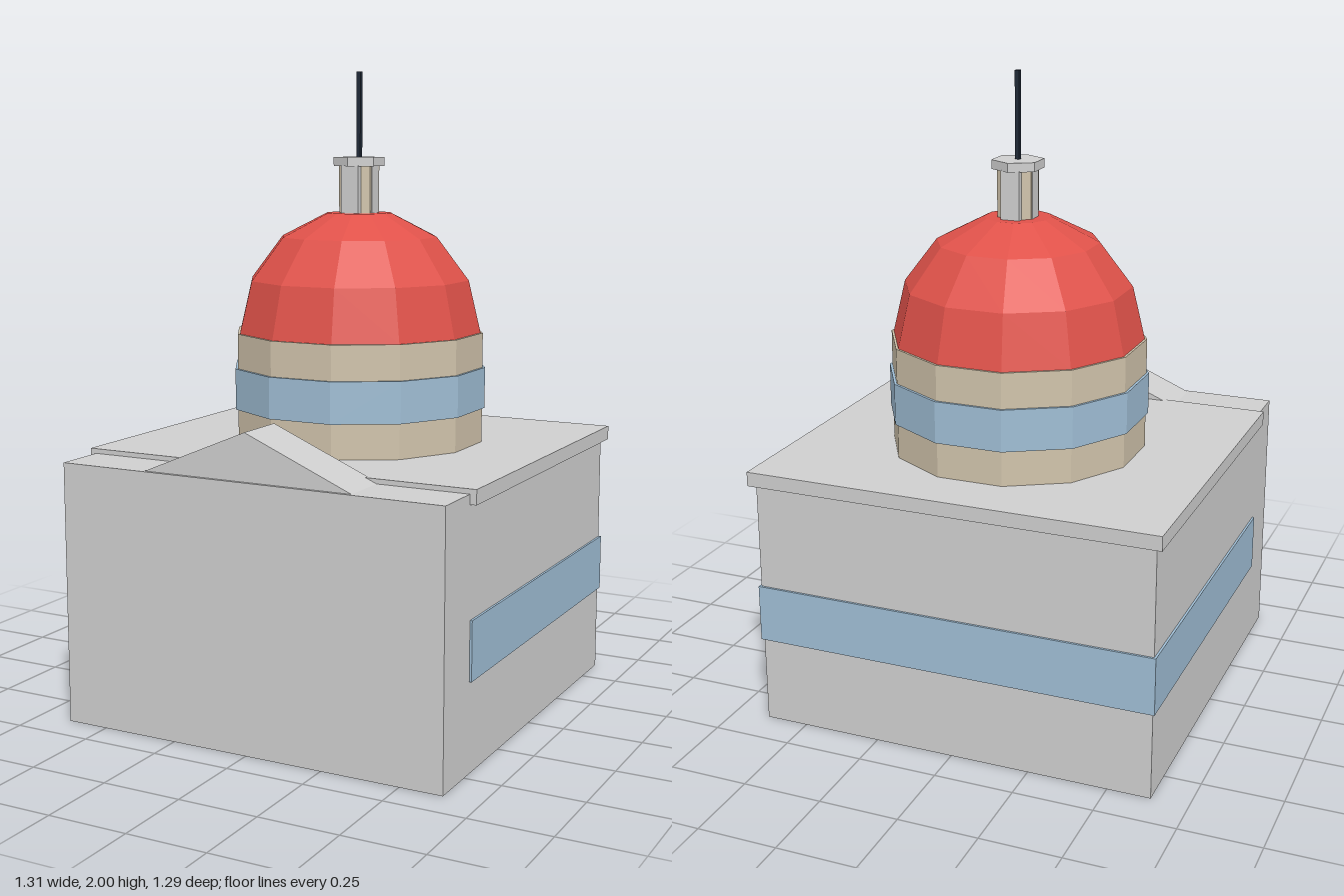
import * as THREE from 'three';

const material = (name, color) => {
  const m = new THREE.MeshStandardMaterial({ color, flatShading: true });
  m.name = name;
  return m;
};

export function createModel() {
  const model = new THREE.Group();
  model.name = 'domedBuilding';
  const stone = material('pale grey stone', 0xcfcfcf);
  const beige = material('beige stone', 0xd0c3ab);
  const glass = material('blue glass', 0x9fbdd4);
  const red = material('red roof', 0xe0524a);
  const dark = material('dark metal', 0x1f2937);

  const add = (parent, name, geometry, mat) => {
    const mesh = new THREE.Mesh(geometry, mat);
    mesh.name = name;
    parent.add(mesh);
    return mesh;
  };
  // Box given by its limits on each axis
  const box = (parent, name, mat, x0, x1, y0, y1, z0, z1) => {
    const mesh = add(parent, name, new THREE.BoxGeometry(x1 - x0, y1 - y0, z1 - z0), mat);
    mesh.position.set((x0 + x1) / 2, (y0 + y1) / 2, (z0 + z1) / 2);
    return mesh;
  };
  // Upright prism given by the distance from its axis to its flat sides
  const prism = (parent, name, mat, apothem, sides, y0, y1, turn = 0) => {
    const r = apothem / Math.cos(Math.PI / sides);
    const mesh = add(parent, name, new THREE.CylinderGeometry(r, r, y1 - y0, sides), mat);
    mesh.position.y = (y0 + y1) / 2;
    mesh.rotation.y = turn;
    return mesh;
  };

  // Main block, window band on the sides and back, and roof slab
  box(model, 'mainBlock', stone, -0.635, 0.635, 0, 0.82, -0.63, 0.645);
  box(model, 'windowBand', glass, -0.642, 0.642, 0.275, 0.455, -0.637, 0.47);
  box(model, 'roofSlab', stone, -0.655, 0.655, 0.79, 0.835, -0.648, 0.48);

  // Front pediment
  const gable = new THREE.Shape([
    new THREE.Vector2(-0.35, 0.818),
    new THREE.Vector2(0.35, 0.818),
    new THREE.Vector2(0, 0.965),
  ]);
  add(model, 'pediment', new THREE.ExtrudeGeometry(gable, { depth: 0.17, bevelEnabled: false }), stone)
    .position.z = 0.465;

  // Twelve-sided tower with flat sides on the axes
  const tower = new THREE.Group();
  tower.name = 'tower';
  tower.position.z = -0.083;
  model.add(tower);
  const turn = Math.PI / 12;
  prism(tower, 'drum', beige, 0.387, 12, 0.83, 1.185, turn);
  prism(tower, 'drumWindows', glass, 0.395, 12, 0.945, 1.075, turn);

  // Faceted dome
  const profile = [[0.38, 1.185], [0.342, 1.35], [0.243, 1.485], [0.1, 1.56], [0, 1.56]]
    .map(([r, y]) => new THREE.Vector2(r / Math.cos(turn), y));
  add(tower, 'dome', new THREE.LatheGeometry(profile, 12), red).rotation.y = turn;

  // Lantern with four piers, cap and mast
  prism(tower, 'lantern', beige, 0.055, 6, 1.55, 1.71);
  box(tower, 'lanternPierFrontBack', stone, -0.03, 0.03, 1.55, 1.71, -0.066, 0.066);
  box(tower, 'lanternPierSides', stone, -0.057, 0.057, 1.55, 1.71, -0.024, 0.024);
  prism(tower, 'lanternCap', stone, 0.07, 6, 1.707, 1.735);
  box(tower, 'mast', dark, -0.007, 0.007, 1.73, 2, -0.007, 0.007);

  return model;
}
